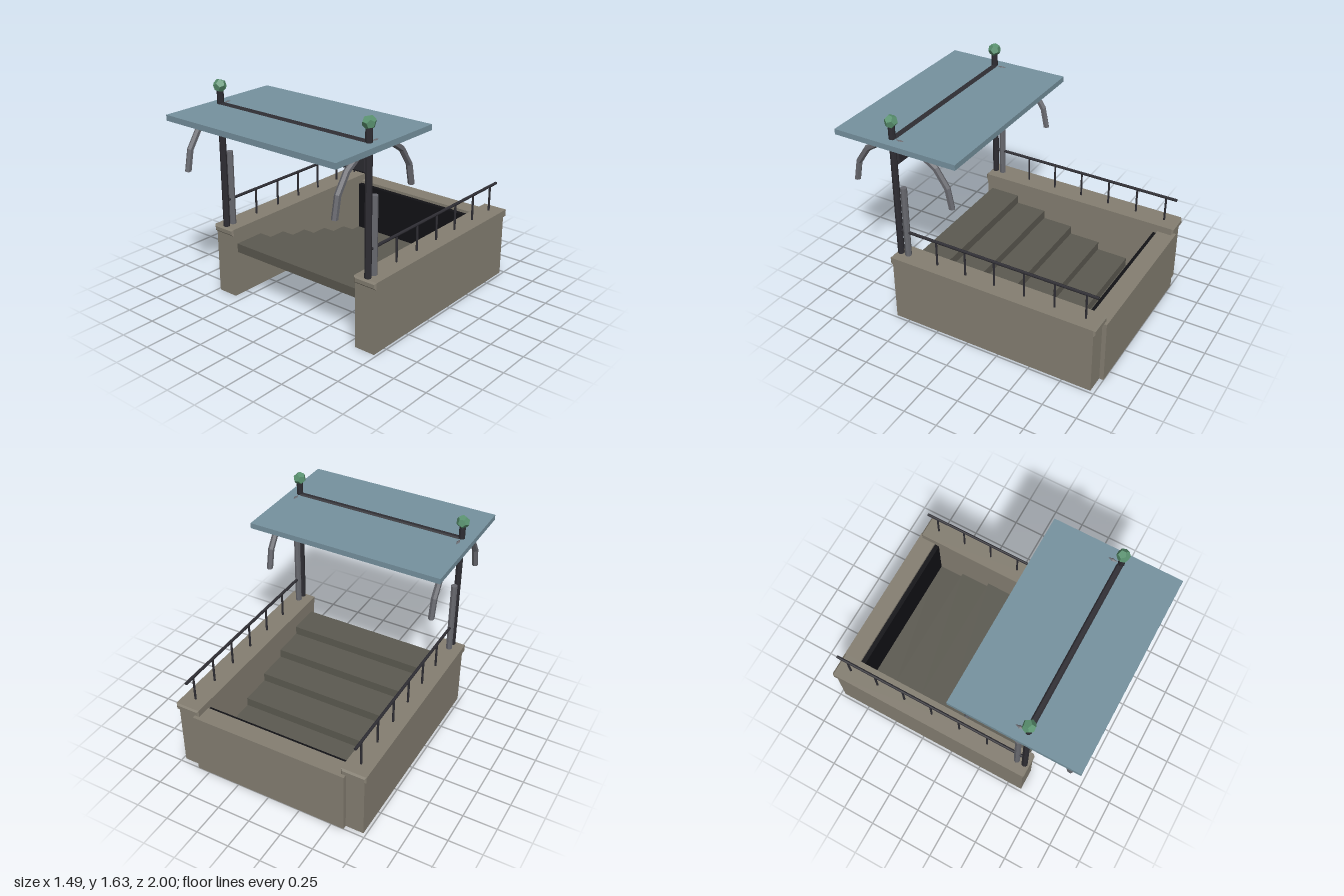
import * as THREE from 'three';

const mat = (color) => new THREE.MeshStandardMaterial({ color, flatShading: true, side: THREE.DoubleSide });

export function createModel() {
  const group = new THREE.Group();
  const stone = mat(0x857f72), stepStone = mat(0x5c5a51), black = mat(0x121216), iron = mat(0x2e2d33);
  const steel = mat(0x68696f), glass = mat(0x76929f), green = mat(0x5a9270), signGreen = mat(0x669c7a);

  const add = (name, geometry, material, x = 0, y = 0, z = 0) => {
    const mesh = new THREE.Mesh(geometry, material);
    mesh.name = name;
    mesh.position.set(x, y, z);
    group.add(mesh);
    return mesh;
  };

  // Box given by its lower and upper corners
  const box = (name, material, [x0, y0, z0], [x1, y1, z1]) =>
    add(name, new THREE.BoxGeometry(x1 - x0, y1 - y0, z1 - z0), material, (x0 + x1) / 2, (y0 + y1) / 2, (z0 + z1) / 2);

  // Box with chamfered edges
  const chamferBox = (name, material, [x0, y0, z0], [x1, y1, z1], c) => {
    const w = (x1 - x0) / 2 - c, h = (y1 - y0) / 2 - c, d = z1 - z0 - 2 * c;
    const shape = new THREE.Shape([[-w, -h], [w, -h], [w, h], [-w, h]].map(([x, y]) => new THREE.Vector2(x, y)));
    const geometry = new THREE.ExtrudeGeometry(shape, {
      depth: d, bevelEnabled: true, bevelSize: c, bevelThickness: c, bevelSegments: 1,
    }).translate(0, 0, -d / 2);
    return add(name, geometry, material, (x0 + x1) / 2, (y0 + y1) / 2, (z0 + z1) / 2);
  };

  // Upright round bar
  const bar = (name, material, r, x, y0, y1, z, sides = 8) =>
    add(name, new THREE.CylinderGeometry(r, r, y1 - y0, sides), material, x, (y0 + y1) / 2, z);

  // Stairwell: back wall, dark opening and descending steps
  box('backWall', stone, [-0.595, 0, -1], [0.595, 0.482, -0.865]);
  box('darkOpening', black, [-0.566, 0, -0.865], [0.566, 0.46, -0.83]);
  const rise = 0.067, run = 0.24;
  for (let i = 0; i < 6; i++) {
    const top = 0.411 - i * rise, front = 0.57 - i * run;
    const bottom = i < 5 ? top - rise : 0.045;
    box('step', stepStone, [-0.568, bottom, Math.max(front - run, -0.86)], [0.568, top, front]);
  }

  for (const s of [-1, 1]) {
    const px = s * 0.655;

    // Side wall with its coping
    const wx = [s * 0.568, s * 0.73].sort((a, b) => a - b);
    const cx = [s * 0.56, s * 0.747].sort((a, b) => a - b);
    box('sideWall', stone, [wx[0], 0, -0.968], [wx[1], 0.49, 0.61]);
    chamferBox('coping', stone, [cx[0], 0.482, -0.985], [cx[1], 0.534, 0.622], 0.012);

    // Railing
    const rail = add('handrail', new THREE.CylinderGeometry(0.011, 0.011, 1.53, 8), iron, px, 0.73, -0.195);
    rail.rotation.x = Math.PI / 2;
    for (let i = 0; i < 7; i++) bar('baluster', iron, 0.008, px, 0.52, 0.73, 0.51 - i * 0.231, 6);

    // Lamp post, lamp and short post behind it
    bar('lampPost', iron, 0.024, px, 0, 1.56, 0.585);
    bar('shortPost', steel, 0.024, px, 0.52, 1.092, 0.523);
    const lamp = add('lamp', new THREE.DodecahedronGeometry(0.048), green, px, 1.585, 0.585);
    lamp.rotation.set(0.3, 0.4 * s, 0.2);

    // Arched canopy bracket
    const arch = add('canopyBracket', new THREE.TorusGeometry(0.39, 0.023, 6, 8, Math.PI), steel, px, 1.05, 0.523);
    arch.rotation.y = Math.PI / 2;
  }

  // Canopy, cross beam and sign panel
  box('canopy', glass, [-0.74, 1.415, 0.04], [0.74, 1.456, 1]);
  chamferBox('crossBeam', iron, [-0.65, 1.25, 0.555], [0.65, 1.466, 0.61], 0.015);
  box('signPanel', signGreen, [-0.566, 1.29, 0.6], [0.566, 1.43, 0.625]);

  return group;
}
